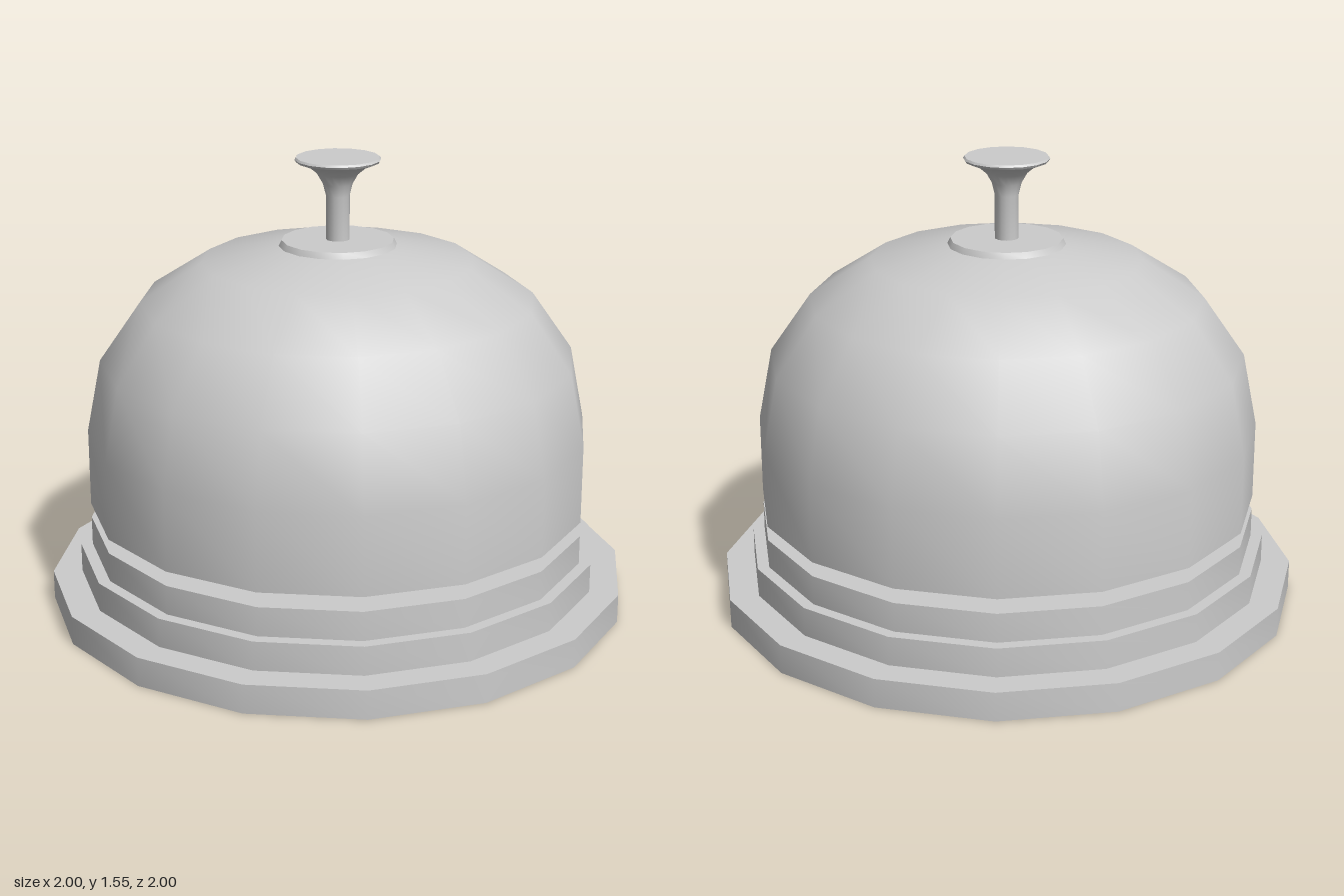
import * as THREE from 'three';
import { toCreasedNormals } from 'three/addons/utils/BufferGeometryUtils.js';

const SIDES = 16;

// Revolves a [radius, height] profile, listed from bottom to top
function turned(name, profile) {
  const points = profile.map(([r, y]) => new THREE.Vector2(r, y));
  const geometry = toCreasedNormals(new THREE.LatheGeometry(points, SIDES), 0.6);
  const material = new THREE.MeshStandardMaterial({ color: 0xcccccc, side: THREE.DoubleSide });
  const mesh = new THREE.Mesh(geometry, material);
  mesh.name = name;
  return mesh;
}

export function createModel() {
  const model = new THREE.Group();
  model.name = 'deskBell';

  // Hollow stepped base, open underneath, ending in a narrow neck
  model.add(turned('steppedBase', [
    [1, 0], [1, 0.1], [0.9, 0.1], [0.9, 0.2], [0.86, 0.2], [0.86, 0.3], [0.69, 0.3], [0.69, 0.35],
  ]));

  // Thin dome with an inward lip resting on the neck
  model.add(turned('bellDome', [
    [0.69, 0.35], [0.86, 0.35], [0.86, 0.62], [0.81, 0.87], [0.67, 1.07], [0.46, 1.205], [0.2, 1.255],
  ]));

  // Bevelled disc closing the top of the dome
  model.add(turned('topCap', [[0.2, 1.255], [0.19, 1.275], [0, 1.275]]));

  // Push button with a slim stem flaring into a flat head
  model.add(turned('pushButton', [
    [0.04, 1.275], [0.04, 1.425], [0.05, 1.465], [0.07, 1.5], [0.1, 1.525],
    [0.14, 1.54], [0.145, 1.548], [0.14, 1.555], [0, 1.555],
  ]));

  return model;
}
